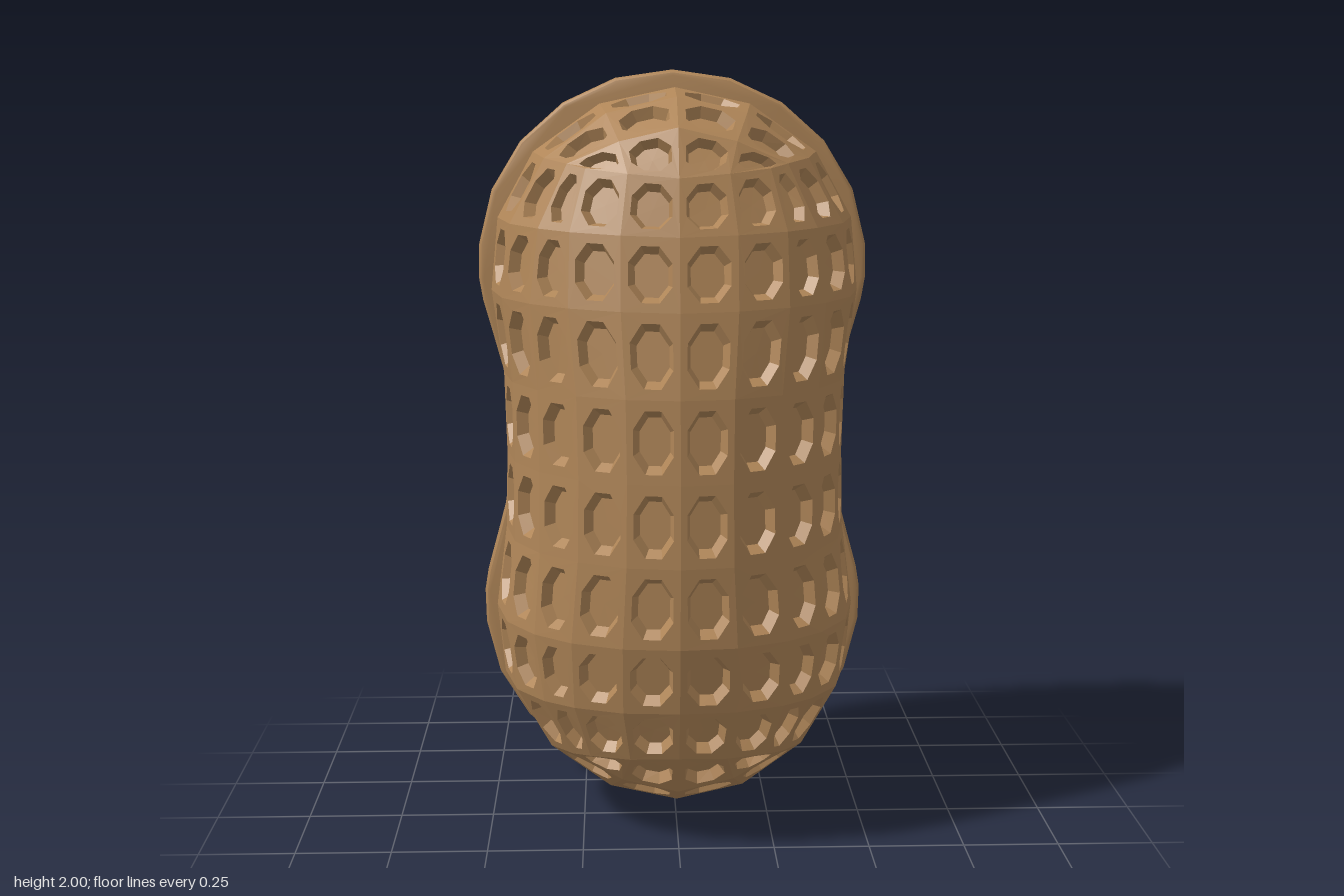
import * as THREE from 'three';
import { toCreasedNormals } from 'three/addons/utils/BufferGeometryUtils.js';

const BACK = -0.27, MID = -0.1, DEG = Math.PI / 180;

// Body profiles: [height from the waist, radius]
const WIDTH = [[0, .45], [.21, .455], [.43, .484], [.52, .487], [.62, .465], [.7, .43], [.79, .37], [.87, .275], [.91, .205], [.94, .11], [.955, 0]];
const DEPTH_UP = [[0, .485], [.21, .475], [.42, .447], [.6, .41], [.74, .365], [.86, .295], [.91, .23], [.94, .15], [.955, 0]];
const DEPTH_DOWN = [[0, .485], [.21, .49], [.42, .48], [.6, .44], [.74, .385], [.86, .3], [.91, .235], [.94, .15], [.955, 0]];

// Grid lines of the cells
const FRONT_ROWS = [0, .21, .42, .6, .74], SIDE_ROWS = [0, .21, .43, .62, .79];
const WAIST_ANGLES = [0, 17, 34, 51.5, 69, 90], CAP_ANGLES = [0, 18.5, 36, 46, 63, 90];
const CAP_Z = [BACK, MID, .07, .195];

const lerp = THREE.MathUtils.lerp;

function sample(table, t) {
  for (let i = 1; i < table.length; i++) {
    const [a, ra] = table[i - 1], [b, rb] = table[i];
    if (t <= b) return lerp(ra, rb, (t - a) / (b - a));
  }
  return 0;
}

// Point on the front and sides: column s counts from the front centre line to the back
function bandPoint(s, v, up) {
  const row = Math.abs(v);
  const dy = lerp(FRONT_ROWS[row], SIDE_ROWS[row], Math.min(s / 5, 1));
  const rx = sample(WIDTH, dy), rz = sample(up ? DEPTH_UP : DEPTH_DOWN, dy);
  if (s === 6) return [rx * 0.98, dy, BACK];
  const a = lerp(WAIST_ANGLES[s], CAP_ANGLES[s], (row / 4) ** 2) * DEG;
  return [rx * Math.sin(a), dy, MID + rz * Math.cos(a)];
}

// Point on an end cap: placed in plan, then dropped onto the dome
function capPoint(u, w, up) {
  const edge = bandPoint(6 - w, 4, up);
  const x = u * 0.53 * edge[0], z = lerp(CAP_Z[w], edge[2], (u / 2) ** 2);
  let lo = 0.55, hi = 0.955;
  for (let i = 0; i < 30; i++) {
    const dy = (lo + hi) / 2, rx = sample(WIDTH, dy);
    const rz = z < MID ? rx * 1.75 : sample(up ? DEPTH_UP : DEPTH_DOWN, dy);
    if ((x / rx) ** 2 + ((z - MID) / rz) ** 2 < 1) lo = dy; else hi = dy;
  }
  return [x, lo, z];
}

// Box grid (u across, v up, w forward) to the body surface
function gridPoint(u, v, w) {
  const au = Math.abs(u), up = v >= 0;
  const p = w === 4 ? bandPoint(au, v, up) : au === 2 ? bandPoint(6 - w, v, up) : capPoint(au, w, up);
  return new THREE.Vector3(Math.sign(u) * p[0], 1 + (up ? 1 : -1) * p[1], p[2]);
}

// One cell: a frame around an eight-sided recess with sloping walls and a floor
function addCell(out, corners) {
  let c = corners;
  const centre = c.reduce((m, p) => m.add(p), new THREE.Vector3()).multiplyScalar(0.25);
  const normal = c[2].clone().sub(c[0]).cross(c[3].clone().sub(c[1])).normalize();
  const outward = centre.clone().sub(new THREE.Vector3(0, 1 + (centre.y - 1) * 0.5, MID - 0.1));
  if (normal.dot(outward) < 0) {
    c = [c[0], c[3], c[2], c[1]];
    normal.negate();
  }
  const at = (a, b) => {
    const low = c[0].clone().lerp(c[1], (a + 1) / 2), high = c[3].clone().lerp(c[2], (a + 1) / 2);
    return low.lerp(high, (b + 1) / 2);
  };
  const ring = (r, depth) => Array.from({ length: 8 }, (_, i) => {
    const a = (i * 45 - 157.5) * DEG;
    return at(r * Math.cos(a), r * Math.sin(a)).addScaledVector(normal, -depth);
  });
  const tri = (...pts) => pts.forEach(p => out.push(p.x, p.y, p.z));
  const quad = (p, q, r, s) => { tri(p, q, r); tri(p, r, s); };
  const rim = ring(0.81, 0), floor = ring(0.62, 0.028);
  const bottom = centre.clone().addScaledVector(normal, -0.028);
  for (let k = 0; k < 4; k++) {
    const a = 2 * k;
    // straight side of the frame, then its corner
    quad(c[k], c[(k + 1) % 4], rim[(a + 2) % 8], rim[a + 1]);
    tri(c[k], rim[a + 1], rim[a]);
  }
  for (let i = 0; i < 8; i++) {
    const j = (i + 1) % 8;
    quad(rim[i], rim[j], floor[j], floor[i]);
    tri(floor[i], floor[j], bottom);
  }
}

function shellGeometry() {
  const out = [];
  const patch = (a0, a1, b0, b1, f) => {
    for (let a = a0; a < a1; a++) for (let b = b0; b < b1; b++)
      addCell(out, [f(a, b), f(a + 1, b), f(a + 1, b + 1), f(a, b + 1)]);
  };
  patch(-2, 2, -4, 4, (u, v) => gridPoint(u, v, 4));
  for (const side of [-1, 1]) {
    patch(0, 4, -4, 4, (w, v) => gridPoint(side * 2, v, w));
    patch(-2, 2, 0, 4, (u, w) => gridPoint(u, side * 4, w));
  }
  const g = new THREE.BufferGeometry();
  g.setAttribute('position', new THREE.Float32BufferAttribute(out, 3));
  g.computeVertexNormals();
  return g;
}

// Waisted backing plate with a softened front edge and a flat back
function plateGeometry() {
  const quarter = [[.446, 0], [.452, .08], [.468, .19], [.495, .29], [.52, .38], [.53, .44]];
  for (let a = 5; a <= 90; a += 17) quarter.push([.53 * Math.cos(a * DEG), .49 + .51 * Math.sin(a * DEG)]);
  quarter.push([0, 1]);
  const half = [...quarter.slice(1).reverse().map(([x, y]) => [x, -y]), ...quarter];
  const left = half.slice(1, -1).reverse().map(([x, y]) => [-x, y]);
  const shape = new THREE.Shape([...half, ...left].map(([x, y]) => new THREE.Vector2(x, y + 1)));
  const g = new THREE.ExtrudeGeometry(shape, {
    depth: 0.08, bevelThickness: 0.02, bevelSize: 0.015, bevelOffset: -0.015, bevelSegments: 3,
  });
  g.translate(0, 0, BACK - 0.1);
  const p = g.attributes.position;
  for (let i = 0; i < p.count; i++) if (p.getZ(i) < BACK - 0.09) p.setZ(i, -0.39);
  return toCreasedNormals(g, 0.35);
}

export function createModel() {
  const group = new THREE.Group();
  group.name = 'peanut';
  const color = 0xb08658;

  const shell = new THREE.Mesh(shellGeometry(), new THREE.MeshStandardMaterial({ color, flatShading: true }));
  shell.name = 'dimpledShell';

  const plate = new THREE.Mesh(plateGeometry(), new THREE.MeshStandardMaterial({ color }));
  plate.name = 'backPlate';

  group.add(shell, plate);
  return group;
}
